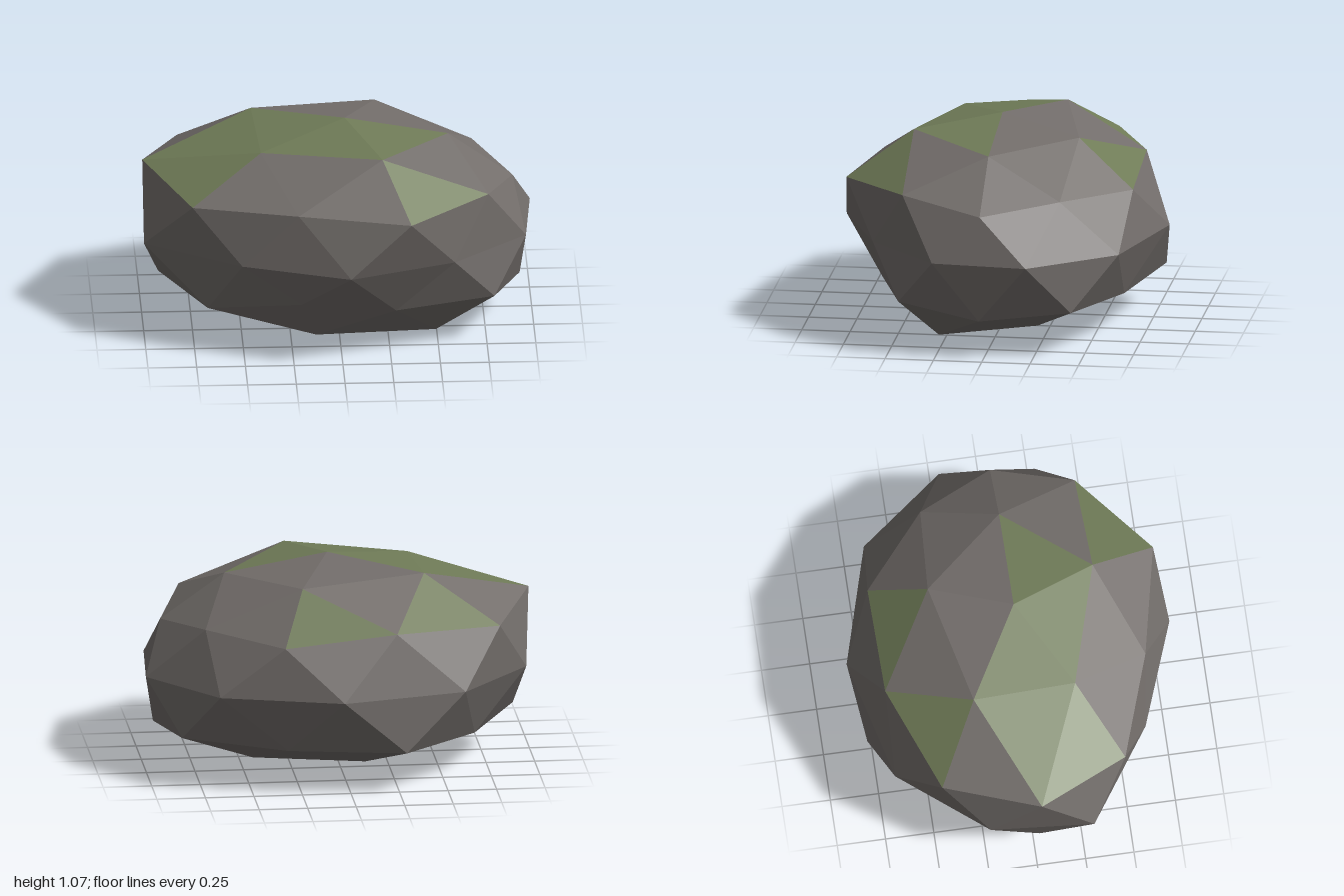
import * as THREE from 'three';

const stone = new THREE.MeshStandardMaterial({ color: 0x736e6b, flatShading: true });
stone.name = 'warm grey stone';
const moss = new THREE.MeshStandardMaterial({ color: 0x6f7b57, flatShading: true });
moss.name = 'moss green';

// Ring of vertices: start azimuth (degrees), latitude, and a radius for each vertex
function ring(startAz, latitude, radii) {
  return radii.map((r, i) => {
    const a = THREE.MathUtils.degToRad(startAz + (i * 360) / radii.length);
    const l = THREE.MathUtils.degToRad(latitude);
    return new THREE.Vector3(
      0.04 + r * Math.cos(l) * Math.cos(a),
      0.503 + 0.55 * r * Math.sin(l),
      0.025 + 0.8 * r * Math.cos(l) * Math.sin(a)
    );
  });
}

function facets(name, triangles, material) {
  const geometry = new THREE.BufferGeometry().setFromPoints(triangles.flat());
  geometry.computeVertexNormals();
  const mesh = new THREE.Mesh(geometry, material);
  mesh.name = name;
  return mesh;
}

export function createModel() {
  // Squashed, once-subdivided icosahedron with uneven radii
  const [T] = ring(0, 90, [1.03]);
  const N = ring(0, 58.28, [1.008, 1.085, 1.035, 1.105, 1.05]);
  const U = ring(0, 26.57, [0.962, 1.125, 1.105, 1.16, 1.05]);
  const M = ring(36, 31.72, [1.046, 0.997, 1.22, 1.09, 0.97]);
  const E = ring(-18, 0, [1.01, 0.967, 0.92, 1.008, 0.935, 1.094, 1.05, 1.088, 1.08, 1.06]);
  const L = ring(36, -26.57, [1.036, 0.886, 1.07, 1.18, 1.1]);
  const Q = ring(0, -31.72, [1.055, 0.91, 1.046, 1.04, 1.03]);
  const P = ring(36, -58.28, [1.075, 1.0, 0.893, 0.955, 0.96]);
  const [B] = ring(0, -90, [0.87]);

  const stoneFaces = [];
  const mossFaces = [];
  for (let k = 0; k < 5; k++) {
    const j = (k + 1) % 5;
    const a = E[2 * k], b = E[2 * k + 1], c = E[(2 * k + 2) % 10];

    // Upper facets, each with the sectors where moss grows
    const upper = [
      [[T, N[j], N[k]], [0, 1, 2]],
      [[N[k], N[j], M[k]], [2]],
      [[N[k], M[k], U[k]], [2, 3]],
      [[N[j], U[j], M[k]], [0, 3]],
    ];
    for (const [face, mossy] of upper) (mossy.includes(k) ? mossFaces : stoneFaces).push(face);

    // Sides and underside
    stoneFaces.push(
      [U[k], b, a], [U[k], M[k], b], [M[k], c, b], [M[k], U[j], c],
      [L[k], b, c], [a, b, Q[k]], [b, L[k], Q[k]], [c, Q[j], L[k]],
      [L[k], Q[j], P[k]], [Q[j], P[j], P[k]], [L[j], P[j], Q[j]], [P[k], P[j], B]
    );
  }

  const group = new THREE.Group();
  group.name = 'mossyRock';
  group.add(facets('rock', stoneFaces, stone), facets('mossPatches', mossFaces, moss));
  return group;
}
